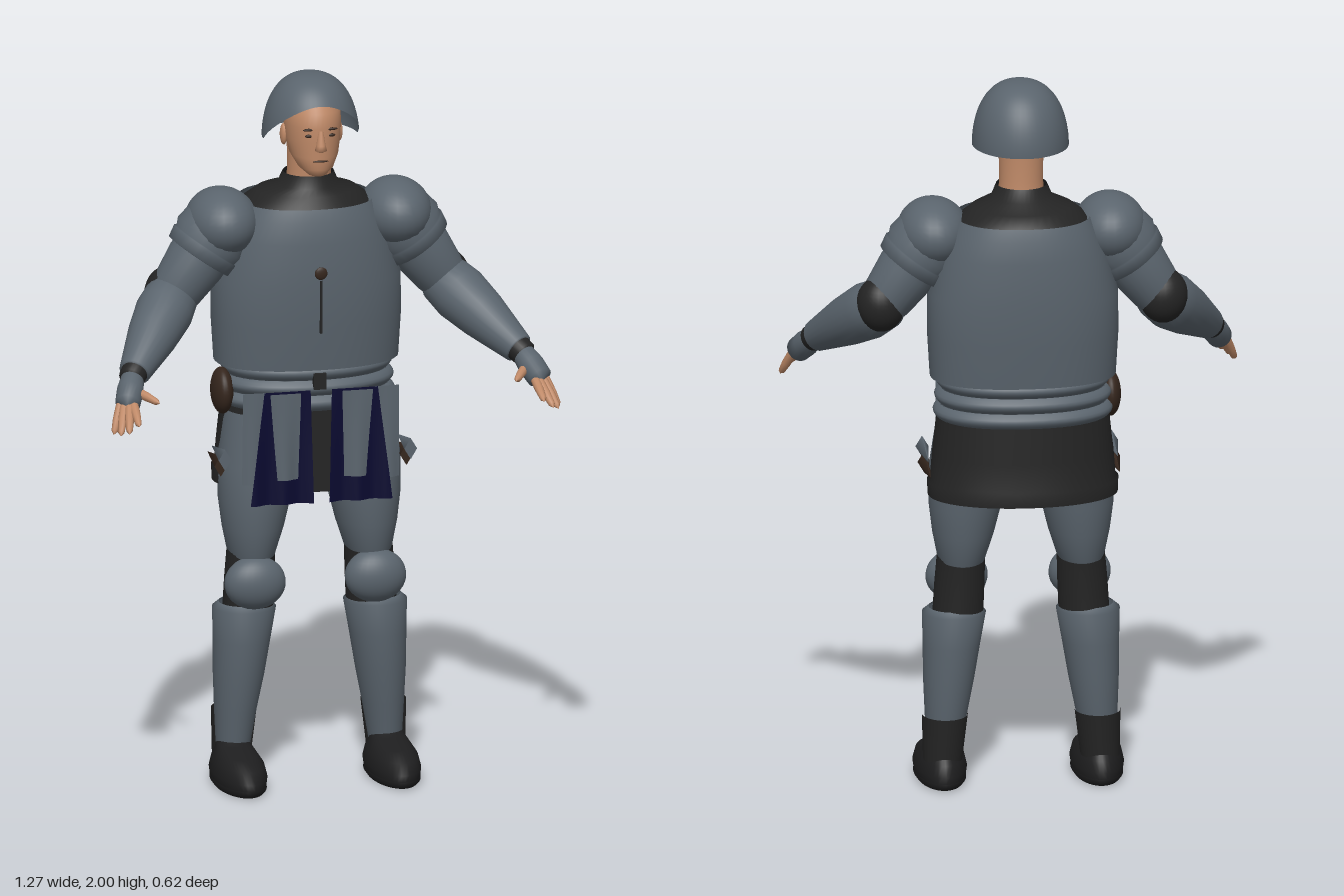
import * as THREE from 'three';
import { ParametricGeometry } from 'three/addons/geometries/ParametricGeometry.js';

const V = (a) => new THREE.Vector3(...a);
const material = (name, color) => {
  const m = new THREE.MeshStandardMaterial({ color, side: THREE.DoubleSide });
  m.name = name;
  return m;
};

export function createModel() {
  const steel = material('steel', 0x5a646d);
  const cloth = material('black cloth', 0x242424);
  const leather = material('boot leather', 0x1e1e1f);
  const navy = material('navy cloth', 0x0a0a30);
  const skin = material('skin', 0xc08a68);
  const brown = material('dark brown', 0x35261d);

  const model = new THREE.Group();
  model.name = 'armouredGuard';

  const add = (parent, name, geo, mat) => {
    const mesh = new THREE.Mesh(geo, mat);
    mesh.name = name;
    parent.add(mesh);
    return mesh;
  };

  // Stacked elliptical rings [y, x, z, rx, rz, frontGap], bottom to top; p < 1 squares them
  const loft = (parent, name, mat, rings, p = 1, n = 40) => {
    const pos = [], index = [];
    const open = rings.some((r) => r[5]);
    const cols = open ? n + 1 : n;
    const pow = (v) => Math.sign(v) * Math.abs(v) ** p;
    for (const [y, x, z, rx, rz, gap = 0] of rings)
      for (let j = 0; j < cols; j++) {
        const t = Math.PI / 2 + gap + (j / n) * 2 * (Math.PI - gap);
        pos.push(x + rx * pow(Math.cos(t)), y, z + rz * pow(Math.sin(t)));
      }
    for (let i = 0; i < rings.length - 1; i++)
      for (let j = 0; j < n; j++) {
        const k = (j + 1) % cols;
        const a = i * cols + j, b = i * cols + k, c = a + cols, d = b + cols;
        index.push(a, c, b, b, c, d);
      }
    const geo = new THREE.BufferGeometry();
    geo.setAttribute('position', new THREE.Float32BufferAttribute(pos, 3));
    geo.setIndex(index);
    geo.computeVertexNormals();
    return add(parent, name, geo, mat);
  };

  // Round limb between two points, profile of [fraction along, radius]
  const limb = (parent, name, mat, a, b, profile, n = 24) => {
    const from = V(a), dir = V(b).sub(from), len = dir.length();
    const pts = profile.map(([t, r]) => new THREE.Vector2(r, t * len));
    const mesh = add(parent, name, new THREE.LatheGeometry(pts, n), mat);
    mesh.position.copy(from);
    mesh.quaternion.setFromUnitVectors(V([0, 1, 0]), dir.normalize());
    return mesh;
  };

  const ball = (parent, name, mat, at, size, n = 28) => {
    const mesh = add(parent, name, new THREE.SphereGeometry(1, n, Math.round(n * 0.7)), mat);
    mesh.position.set(...at);
    mesh.scale.set(...size);
    return mesh;
  };

  // Hanging strip with soft folds: x limits at the top and bottom
  const strip = (parent, name, mat, top, bottom, y1, y0, z) => {
    const geo = new THREE.PlaneGeometry(1, 1, 16, 4), p = geo.attributes.position;
    for (let i = 0; i < p.count; i++) {
      const u = p.getX(i) + 0.5, v = 0.5 - p.getY(i);
      const x = THREE.MathUtils.lerp(top[0] + u * (top[1] - top[0]), bottom[0] + u * (bottom[1] - bottom[0]), v);
      p.setXYZ(i, x, y1 + v * (y0 - y1), z + 0.007 * Math.sin(x * 75) * v);
    }
    geo.computeVertexNormals();
    return add(parent, name, geo, mat);
  };

  // Head and neck
  const head = new THREE.Group();
  head.name = 'head';
  model.add(head);
  loft(head, 'neck', skin, [[1.67, 0, -0.09, 0.064, 0.064], [1.73, 0, -0.085, 0.06, 0.062], [1.82, 0, -0.085, 0.062, 0.066]]);
  loft(head, 'face', skin, [
    [1.728, 0, 0.01, 0.002, 0.002], [1.732, 0, 0.005, 0.025, 0.035], [1.752, 0, -0.008, 0.048, 0.06],
    [1.785, 0, -0.03, 0.066, 0.084], [1.83, 0, -0.045, 0.075, 0.1], [1.87, 0, -0.05, 0.078, 0.107],
    [1.91, 0, -0.055, 0.077, 0.106], [1.94, 0, -0.06, 0.06, 0.085]]);
  loft(head, 'nose', skin, [[1.803, 0, 0.054, 0.004, 0.004], [1.81, 0, 0.056, 0.017, 0.018], [1.825, 0, 0.056, 0.013, 0.016], [1.865, 0, 0.052, 0.007, 0.008]], 1, 16);
  ball(head, 'mouth', brown, [0, 1.778, 0.053], [0.022, 0.003, 0.004], 14);
  for (const s of [-1, 1]) {
    ball(head, 'ear', skin, [s * 0.078, 1.832, -0.06], [0.01, 0.03, 0.018], 16);
    ball(head, 'eye', brown, [s * 0.03, 1.85, 0.046], [0.013, 0.005, 0.005], 14);
    ball(head, 'eyebrow', brown, [s * 0.031, 1.868, 0.048], [0.018, 0.004, 0.005], 14);
  }

  // Open-faced helmet: dome whose rim rises toward the front
  add(head, 'helmet', new ParametricGeometry((u, v, out) => {
    const t = u * Math.PI * 2;
    const phi = v * Math.acos((0.115 * Math.max(0, Math.sin(t))) / 0.18);
    const r = Math.sin(phi) ** 0.8;
    out.set(0.133 * r * Math.cos(t), 1.82 + 0.18 * Math.cos(phi), -0.068 + 0.155 * r * Math.sin(t));
  }, 48, 16), steel);

  // Torso: breastplate, padded collar, waist bands, skirt
  loft(model, 'cuirass', steel, [
    [1.18, 0, -0.125, 0.256, 0.165], [1.3, 0, -0.125, 0.263, 0.178], [1.42, 0, -0.125, 0.262, 0.185],
    [1.54, 0, -0.125, 0.23, 0.18], [1.6, 0, -0.125, 0.205, 0.17], [1.635, 0, -0.125, 0.185, 0.158]], 0.87, 56);
  loft(model, 'collar', cloth, [
    [1.6, 0, -0.125, 0.195, 0.16], [1.632, 0, -0.125, 0.178, 0.15], [1.66, 0, -0.12, 0.14, 0.12],
    [1.68, 0, -0.1, 0.085, 0.085], [1.715, 0, -0.095, 0.07, 0.072]]);
  const boss = ball(model, 'breastplateBoss', brown, [0, 1.46, 0.058], [0.018, 0.018, 0.006], 16);
  boss.rotation.z = 0;
  const ridge = add(model, 'breastplateRidge', new THREE.BoxGeometry(0.006, 0.15, 0.008), cloth);
  ridge.position.set(0, 1.365, 0.058);

  const bands = [[1.055, 0, -0.125, 0.2, 0.13]];
  for (let i = 0; i < 3; i++)
    for (let k = 0; k <= 6; k++) {
      const bulge = 0.016 * Math.sin((k / 6) * Math.PI);
      bands.push([1.06 + i * 0.044 + k * 0.0073, 0, -0.125, 0.232 - i * 0.004 + bulge, 0.15 + bulge]);
    }
  bands.push([1.195, 0, -0.125, 0.2, 0.13]);
  loft(model, 'waistBands', steel, bands, 0.92, 48);
  loft(model, 'hips', cloth, [[0.85, 0, -0.1, 0.03, 0.05], [0.88, 0, -0.1, 0.14, 0.1], [0.96, 0, -0.11, 0.2, 0.13], [1.08, 0, -0.12, 0.22, 0.145]]);
  loft(model, 'skirt', cloth, [
    [0.84, 0, -0.125, 0.262, 0.168, 1.25], [0.88, 0, -0.125, 0.264, 0.17, 1.1], [0.885, 0, -0.125, 0.256, 0.162, 0.95],
    [0.96, 0, -0.125, 0.25, 0.158, 0.85], [1.07, 0, -0.125, 0.238, 0.152, 0.7]], 0.95, 48);
  const buckle = add(model, 'buckle', new THREE.BoxGeometry(0.035, 0.045, 0.02), cloth);
  buckle.position.set(0, 1.15, 0.04);
  const flap = add(model, 'frontFlap', new THREE.BoxGeometry(0.07, 0.24, 0.02), cloth);
  flap.position.set(0, 0.95, 0.015);
  ball(model, 'beltPouch', brown, [-0.245, 1.105, -0.09], [0.03, 0.065, 0.06]);

  // Everything paired is built on +x and mirrored
  for (const s of [1, -1]) {
    const side = new THREE.Group();
    side.name = s > 0 ? 'leftSide' : 'rightSide';
    side.scale.x = s;
    model.add(side);

    // Tabard panel with its plates
    strip(side, 'tabardPanel', navy, [0.03, 0.16], [0.022, 0.2], 1.13, 0.81, 0.06);
    strip(side, 'tabardPlate', steel, [0.058, 0.145], [0.065, 0.125], 1.125, 0.88, 0.066);
    strip(side, 'tabardOuterPlate', steel, [0.15, 0.218], [0.178, 0.22], 1.13, 0.87, 0.063).rotation.y = 0.03;

    // Pointed hip plates
    for (const [y, z, m] of [[0.935, -0.06, steel], [0.905, -0.11, brown]]) {
      const point = add(side, 'hipPoint', new THREE.ConeGeometry(0.03, 0.16, 4), m);
      point.position.set(0.262, y, z);
      point.rotation.x = -Math.PI / 2;
      point.scale.x = 0.6;
    }

    // Leg
    loft(side, 'thigh', steel, [
      [0.63, 0.165, -0.08, 0.05, 0.07], [0.64, 0.165, -0.08, 0.064, 0.085], [0.72, 0.16, -0.082, 0.085, 0.1],
      [0.8, 0.155, -0.085, 0.1, 0.108], [0.9, 0.145, -0.09, 0.112, 0.11], [1.05, 0.125, -0.1, 0.11, 0.11]]);
    loft(side, 'kneeWrap', cloth, [[0.47, 0.175, -0.08, 0.07, 0.074], [0.57, 0.17, -0.08, 0.069, 0.074], [0.66, 0.165, -0.08, 0.066, 0.08]]);
    ball(side, 'kneeCap', steel, [0.17, 0.573, -0.012], [0.086, 0.075, 0.056]);
    loft(side, 'greave', steel, [
      [0.09, 0.215, -0.088, 0.046, 0.055], [0.2, 0.208, -0.086, 0.058, 0.07], [0.3, 0.2, -0.082, 0.07, 0.082],
      [0.4, 0.192, -0.08, 0.079, 0.087], [0.49, 0.185, -0.08, 0.088, 0.088], [0.505, 0.185, -0.08, 0.07, 0.07]]);
    loft(side, 'ankleWrap', cloth, [[0.06, 0.218, -0.09, 0.053, 0.062, 1.5], [0.2, 0.211, -0.088, 0.063, 0.075, 1.5]]);
    loft(side, 'boot', leather, [
      [0.02, 0.217, -0.015, 0.07, 0.164], [0.04, 0.217, -0.015, 0.073, 0.166], [0.07, 0.217, -0.018, 0.066, 0.15],
      [0.09, 0.217, -0.04, 0.054, 0.11], [0.105, 0.217, -0.075, 0.046, 0.065], [0.12, 0.217, -0.085, 0.04, 0.045]]);
    loft(side, 'sole', leather, [[0, 0.217, -0.02, 0.002, 0.002], [0, 0.217, -0.015, 0.064, 0.15], [0.01, 0.217, -0.015, 0.071, 0.165], [0.022, 0.217, -0.015, 0.07, 0.164]]);

    // Arm
    const shoulder = [0.25, 1.57, -0.1], elbow = [0.385, 1.38, -0.095], wrist = [0.548, 1.225, 0.13];
    ball(side, 'pauldron', steel, [0.245, 1.585, -0.095], [0.1, 0.095, 0.13]);
    limb(side, 'pauldronLayers', steel, shoulder, elbow, [[0, 0.102], [0.18, 0.109], [0.27, 0.1], [0.28, 0.106], [0.43, 0.1], [0.44, 0.08]]);
    limb(side, 'upperArm', steel, shoulder, elbow, [[0, 0.08], [0.5, 0.085], [0.9, 0.073], [1.1, 0.06]]);
    ball(side, 'elbowPad', cloth, [0.39, 1.385, -0.108], [0.068, 0.078, 0.068]);
    limb(side, 'forearmGuard', steel, elbow, wrist, [[-0.2, 0], [-0.14, 0.045], [-0.02, 0.073], [0.2, 0.08], [0.5, 0.07], [0.96, 0.044], [0.97, 0.03]]);
    limb(side, 'wristWrap', cloth, elbow, wrist, [[0.92, 0.038], [1.04, 0.036], [1.07, 0.025]]);

    // Hand with fingerless glove
    limb(side, 'glove', steel, wrist, [0.587, 1.158, 0.222], [[-0.1, 0.02], [0, 0.03], [0.45, 0.037], [0.85, 0.035], [1, 0]]);
    const fingers = [
      [[0.567, 1.162, 0.222], [0.572, 1.125, 0.305]], [[0.58, 1.155, 0.225], [0.599, 1.105, 0.302]],
      [[0.595, 1.15, 0.218], [0.618, 1.095, 0.28]], [[0.604, 1.15, 0.205], [0.629, 1.09, 0.242]],
      [[0.546, 1.19, 0.18], [0.503, 1.175, 0.258]]];
    for (const [a, b] of fingers)
      limb(side, 'finger', skin, a, b, [[-0.2, 0.013], [0.4, 0.0125], [0.85, 0.009], [1, 0]], 10);
  }
  return model;
}
